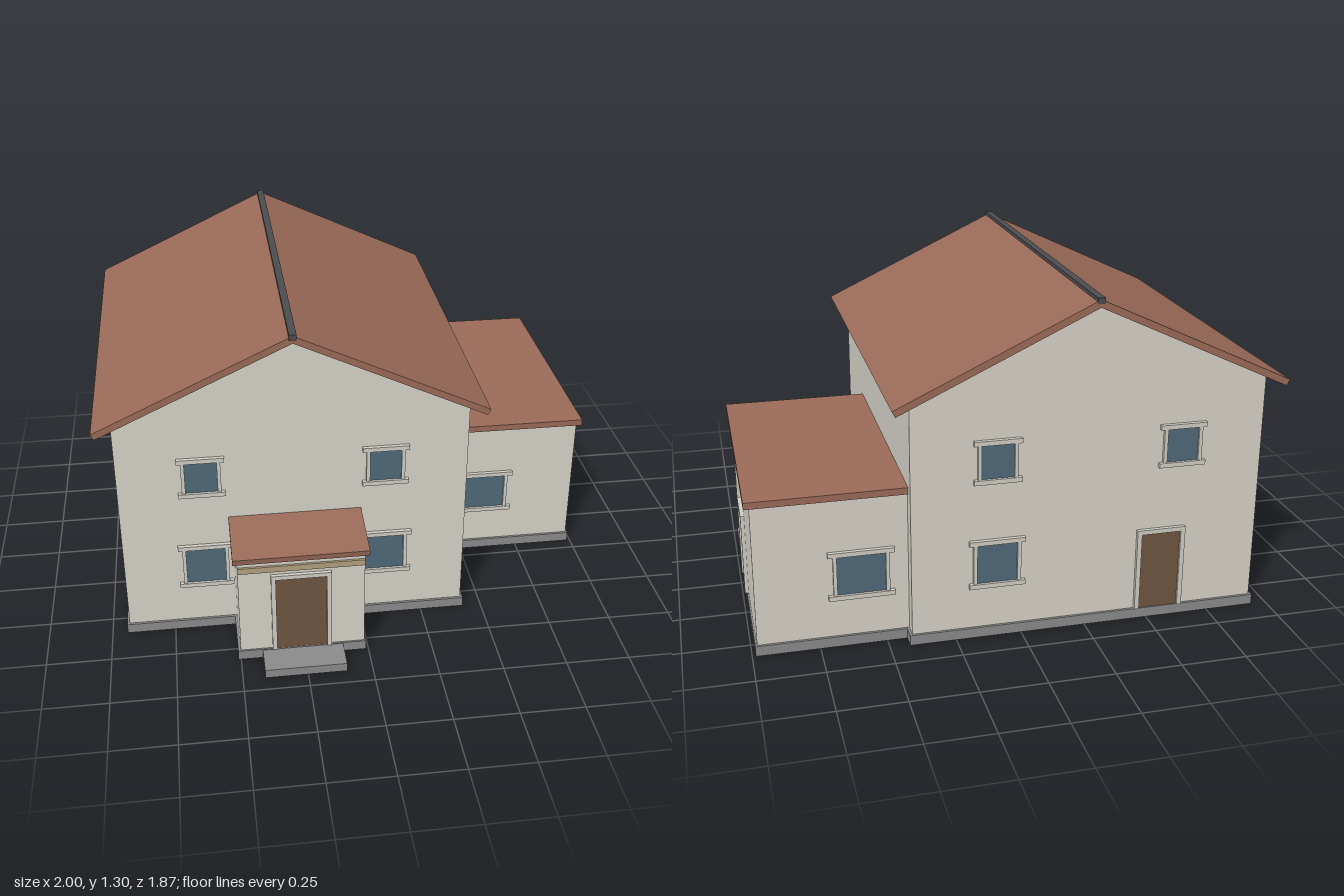
import * as THREE from 'three';

const mat = (color) => new THREE.MeshStandardMaterial({ color });
const M = {
  wall: mat(0xd6d2c8), roof: mat(0x9a6a58), base: mat(0x8a8a8a), trim: mat(0xd0cdc3),
  glass: mat(0x4f6878), door: mat(0x6e5540), beam: mat(0xb0a07e), ridge: mat(0x4c4c50),
};

function mesh(parent, name, geometry, material) {
  const m = new THREE.Mesh(geometry, material);
  m.name = name;
  parent.add(m);
  return m;
}

// Box given by its limits on each axis
function box(parent, name, material, [x0, x1], [y0, y1], [z0, z1]) {
  const m = mesh(parent, name, new THREE.BoxGeometry(x1 - x0, y1 - y0, z1 - z0), material);
  m.position.set((x0 + x1) / 2, (y0 + y1) / 2, (z0 + z1) / 2);
  return m;
}

function extrude(points, depth) {
  const shape = new THREE.Shape(points.map(([x, y]) => new THREE.Vector2(x, y)));
  return new THREE.ExtrudeGeometry(shape, { depth, bevelEnabled: false });
}

// Group whose local +z points out of the wall
function onWall(parent, name, x, y, z, turn) {
  const g = new THREE.Group();
  g.name = name;
  g.position.set(x, y, z);
  g.rotation.y = turn;
  parent.add(g);
  return g;
}

// Window with wide head and sill, narrow jambs and a recessed pane
function addWindow(parent, { w, h, lip }, x, y, z, turn) {
  const g = onWall(parent, 'window', x, y, z, turn);
  const a = w / 2, b = h / 2, t = 0.018, j = 0.014, d = [-0.01, 0.013];
  box(g, 'windowPane', M.glass, [-a, a], [-b, b], [-0.01, 0.005]);
  for (const s of [-1, 1]) {
    const c = s * (a + j / 2), e = s * (b + t / 2);
    box(g, 'windowJamb', M.trim, [c - j / 2, c + j / 2], [-b, b], d);
    box(g, s > 0 ? 'windowHead' : 'windowSill', M.trim,
      [-a - lip, a + lip], [e - t / 2, e + t / 2], [-0.01, 0.016]);
  }
}

// Door with a frame on three sides, standing on the plinth
function addDoor(parent, w, h, x, z, turn) {
  const g = onWall(parent, 'door', x, 0.04, z, turn);
  const a = w / 2, t = 0.018, d = [-0.01, 0.015];
  box(g, 'doorPanel', M.door, [-a, a], [0, h], [-0.01, 0.006]);
  box(g, 'doorFrameLeft', M.trim, [a, a + t], [0, h], d);
  box(g, 'doorFrameRight', M.trim, [-a - t, -a], [0, h], d);
  box(g, 'doorFrameHead', M.trim, [-a - t, a + t], [h, h + t], d);
}

export function createModel() {
  const house = new THREE.Group();
  house.name = 'house';

  // Plinth following the whole footprint, and the doorstep
  const footprint = [
    [-0.94, -0.89], [0.425, -0.89], [0.425, -0.835], [0.987, -0.835], [0.987, 0.195],
    [0.425, 0.195], [0.425, 0.595], [-0.01, 0.595], [-0.01, 0.815], [-0.51, 0.815],
    [-0.51, 0.595], [-0.94, 0.595],
  ].map(([x, z]) => [x, -z]);
  mesh(house, 'plinth', extrude(footprint, 0.04).rotateX(-Math.PI / 2), M.base);
  box(house, 'doorstep', M.base, [-0.415, -0.1], [0, 0.036], [0.815, 0.935]);

  // Walls and gables of the main block
  box(house, 'mainWalls', M.wall, [-0.93, 0.415], [0.04, 0.94], [-0.88, 0.585]);
  mesh(house, 'gable', extrude([[-0.93, 0.94], [0.415, 0.94], [-0.2575, 1.268]], 1.465), M.wall)
    .position.z = -0.88;

  // Two mirrored roof slopes with a ridge cap
  const ridgeX = -0.258;
  for (const s of [-1, 1]) {
    const slope = [[0, 1.29], [0, 1.261], [0.73, 0.918], [0.742, 0.941]]
      .map(([x, y]) => [ridgeX + s * x, y]);
    mesh(house, s < 0 ? 'rightRoofSlope' : 'leftRoofSlope', extrude(slope, 1.565), M.roof)
      .position.z = -0.932;
  }
  box(house, 'ridgeCap', M.ridge, [ridgeX - 0.014, ridgeX + 0.014], [1.275, 1.297], [-0.935, 0.637]);

  // Side wing with a flat roof
  box(house, 'wingWalls', M.wall, [0.41, 0.98], [0.04, 0.59], [-0.825, 0.185]);
  box(house, 'wingRoof', M.roof, [0.415, 1], [0.589, 0.615], [-0.843, 0.197]);

  // Porch with a beam and a pitched roof
  box(house, 'porchWalls', M.wall, [-0.5, -0.015], [0.04, 0.458], [0.58, 0.808]);
  box(house, 'porchBeam', M.beam, [-0.5, -0.015], [0.405, 0.43], [0.8, 0.817]);
  const lean = [[0.58, 0.488], [0.828, 0.456], [0.832, 0.48], [0.58, 0.514]];
  mesh(house, 'porchRoof', extrude(lean, 0.517).rotateY(-Math.PI / 2), M.roof);

  // Windows
  const small = { w: 0.122, h: 0.132, lip: 0.029 };
  const large = { w: 0.152, h: 0.156, lip: 0.03 };
  const wide = { w: 0.18, h: 0.155, lip: 0.033 };
  const upperY = 0.703, lowerY = 0.3, back = Math.PI, side = -Math.PI / 2;
  for (const x of [-0.612, 0.094]) {
    addWindow(house, small, x, upperY, 0.585, 0);
    addWindow(house, large, x, lowerY, 0.585, 0);
    addWindow(house, small, x, upperY, -0.88, back);
  }
  addWindow(house, large, 0.094, lowerY, -0.88, back);
  for (const z of [-0.605, -0.17, 0.265]) {
    addWindow(house, small, -0.93, upperY, z, side);
    addWindow(house, large, -0.93, lowerY, z, side);
  }
  addWindow(house, wide, 0.59, 0.287, 0.185, 0);
  addWindow(house, wide, 0.59, 0.287, -0.825, back);

  // Porch, wing and back doors
  addDoor(house, 0.195, 0.33, -0.26, 0.808, 0);
  addDoor(house, 0.155, 0.312, 0.98, -0.322, Math.PI / 2);
  addDoor(house, 0.155, 0.312, -0.545, -0.88, back);

  return house;
}
